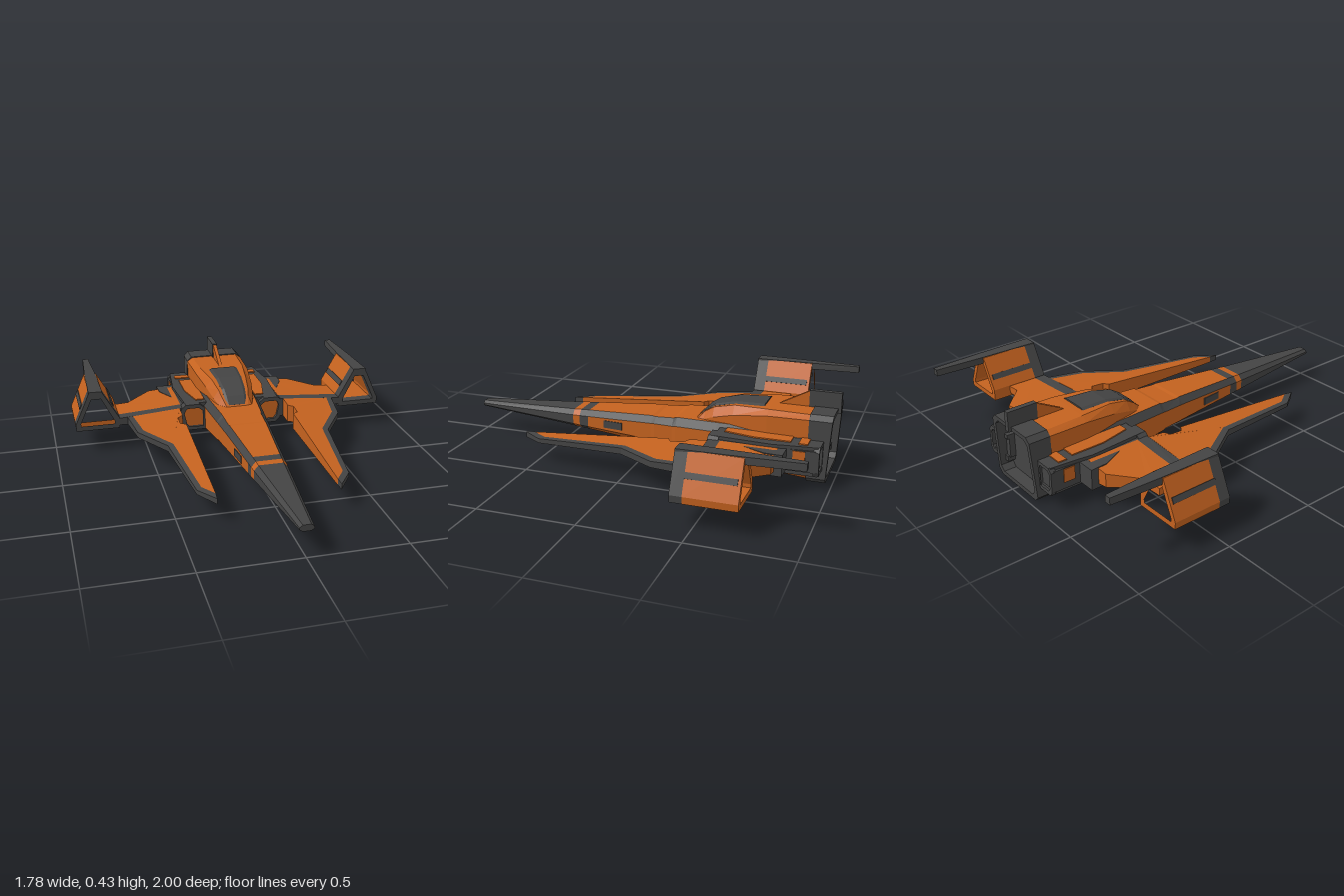
import * as THREE from 'three';

const orange = new THREE.MeshStandardMaterial({ color: 0xc4621f });
orange.name = 'orangePaint';
const dark = new THREE.MeshStandardMaterial({ color: 0x444444 });
dark.name = 'darkGrey';

const lerp = THREE.MathUtils.lerp;
// piecewise-linear lookup through [x, y] points
function ramp(pts, x) {
  if (x <= pts[0][0]) return pts[0][1];
  for (let i = 1; i < pts.length; i++) {
    const [x0, y0] = pts[i - 1], [x1, y1] = pts[i];
    if (x <= x1) return lerp(y0, y1, (x - x0) / (x1 - x0));
  }
  return pts[pts.length - 1][1];
}

function polygon(pts) {
  return new THREE.Shape(pts.map(p => new THREE.Vector2(p[0], p[1])));
}

export function createModel() {
  const ship = new THREE.Group();
  ship.name = 'starfighter';

  function add(name, geo, mat) {
    const m = new THREE.Mesh(geo, mat);
    m.name = name;
    ship.add(m);
    return m;
  }

  // upright outline (x, y) pushed from z0 back to z1, with an optional hole
  function prism(name, pts, z0, z1, mat, hole, rule) {
    const s = polygon(pts);
    if (hole) s.holes.push(new THREE.Path(hole.map(p => new THREE.Vector2(p[0], p[1]))));
    const g = new THREE.ExtrudeGeometry(s, { depth: z0 - z1, bevelEnabled: false });
    g.translate(0, 0, z1);
    if (rule) {
      const p = g.attributes.position;
      for (let i = 0; i < p.count; i++) p.setZ(i, rule(p.getY(i), p.getZ(i)));
      g.computeVertexNormals();
    }
    return add(name, g, mat);
  }

  // plan outline (x, z) between two height rules
  function slab(name, pts, bottom, top, mat) {
    const g = new THREE.ExtrudeGeometry(polygon(pts), { depth: 1, bevelEnabled: false });
    g.rotateX(Math.PI / 2);
    const p = g.attributes.position;
    for (let i = 0; i < p.count; i++) {
      const x = Math.abs(p.getX(i)), z = p.getZ(i);
      p.setY(i, lerp(bottom(x, z), top(x, z), p.getY(i) + 1));
    }
    g.computeVertexNormals();
    return add(name, g, mat);
  }

  // flat-shaded loft through sections (front to back); paint(segment, strip) picks the colour
  function loft(name, secs, paint) {
    const buckets = new Map([[orange, []], [dark, []]]);
    const n = secs[0].length, last = secs.length - 1;
    const tri = (m, ...v) => v.forEach(p => buckets.get(m).push(...p));
    for (let i = 0; i < last; i++) for (let j = 0; j < n; j++) {
      const k = (j + 1) % n, m = paint(i, j);
      const a = secs[i][j], b = secs[i][k], c = secs[i + 1][k], d = secs[i + 1][j];
      tri(m, a, d, c);
      tri(m, a, c, b);
    }
    for (let j = 1; j < n - 1; j++) {
      tri(paint(0, 0), secs[0][0], secs[0][j], secs[0][j + 1]);
      tri(paint(last - 1, 0), secs[last][0], secs[last][j + 1], secs[last][j]);
    }
    for (const [mat, arr] of buckets) if (arr.length) {
      const g = new THREE.BufferGeometry();
      g.setAttribute('position', new THREE.Float32BufferAttribute(arr, 3));
      g.computeVertexNormals();
      add(name, g, mat);
    }
  }

  // eight-sided section: z, half widths (bottom, middle, top), heights
  const oct = (z, wb, w, wt, yb, y1, y2, yt) => [
    [-wb, yb, z], [wb, yb, z], [w, y1, z], [w, y2, z],
    [wt, yt, z], [-wt, yt, z], [-w, y2, z], [-w, y1, z]];

  // hull: dark nose, two bands, dark upper edges
  loft('hull', [
    oct(1, .02, .035, .02, .135, .145, .155, .168),
    oct(.42, .05, .088, .065, .095, .12, .17, .197),
    oct(.38, .052, .092, .068, .092, .118, .172, .2),
    oct(.33, .055, .096, .071, .088, .116, .174, .203),
    oct(-.04, .08, .126, .1, .06, .1, .19, .225),
    oct(-.06, .08, .13, .102, .066, .1, .192, .222),
    oct(-.16, .09, .136, .106, .06, .095, .192, .228),
    oct(-.18, .1, .14, .11, .052, .09, .195, .235),
    oct(-.4, .12, .16, .13, .042, .075, .2, .24),
    oct(-.88, .15, .168, .15, .01, .03, .22, .245),
  ], (i, j) => (i === 0 || i === 2 || (i > 2 && (j === 3 || j === 5)) ? dark : orange));

  // raised back behind and around the cockpit
  loft('cockpitFairing', [
    oct(-.275, .09, .09, .06, .2, .21, .225, .237),
    oct(-.32, .1, .1, .075, .2, .21, .24, .275),
    oct(-.37, .115, .115, .085, .2, .21, .26, .306),
    oct(-.48, .135, .135, .1, .2, .21, .29, .333),
    oct(-.66, .158, .158, .125, .2, .21, .315, .34),
    oct(-.89, .165, .165, .135, .2, .21, .32, .34),
  ], () => orange);

  // canopy glass
  const glass = (z, w, y) => [[-w, y - .03, z], [w, y - .03, z], [w, y, z],
    [w * .8, y + .008, z], [-w * .8, y + .008, z], [-w, y, z]];
  loft('canopyGlass', [glass(-.283, .057, .236), glass(-.32, .062, .276), glass(-.37, .067, .307),
    glass(-.48, .075, .333), glass(-.63, .083, .339)], () => dark);

  // tail fin, orange slope with dark rear block
  const fin = (name, pts, t, mat) => {
    const g = new THREE.ExtrudeGeometry(polygon(pts), { depth: t, bevelEnabled: false });
    g.translate(0, 0, -t / 2);
    g.rotateY(-Math.PI / 2);
    add(name, g, mat);
  };
  fin('tailFin', [[-.84, .33], [-.69, .33], [-.69, .34], [-.84, .42]], .02, orange);
  fin('tailFinRear', [[-1, .32], [-.84, .32], [-.84, .425], [-1, .425]], .028, dark);

  // main engine nozzle, open at the back
  const ring = (w, y0, y1, c) => [[-w + c, y0], [w - c, y0], [w, y0 + c], [w - .012, y1 - c],
    [w - c - .012, y1], [-w + c + .012, y1], [-w + .012, y1 - c], [-w, y0 + c]];
  prism('mainNozzle', ring(.178, 0, .345, .025), -.87, -.975, dark, ring(.155, .025, .322, .025),
    (y, z) => (z < -.95 ? z - (y - .17) * .06 : z));
  prism('nozzleBack', ring(.16, .015, .33, .025), -.87, -.9, dark);

  for (const s of [1, -1]) {
    const mir = pts => pts.map(([x, y]) => [s * x, y]);
    const flat = y => () => y;

    // hull side hatch
    const hatch = add('sideHatch', new THREE.BoxGeometry(.008, .04, .11), dark);
    hatch.position.set(s * .108, .146, .18);
    hatch.rotation.y = -s * .1;

    // engine shoulder: wide lower block, narrower top step
    slab('engineShoulder', mir([[.12, -.42], [.3, -.42], [.31, -.57], [.37, -.7], [.375, -.79],
      [.28, -.79], [.28, -.93], [.12, -.93]]), flat(.095), flat(.205), dark);
    slab('engineTop', mir([[.12, -.42], [.27, -.42], [.28, -.57], [.29, -.72], [.28, -.79],
      [.265, -.94], [.12, -.94]]), flat(.2), flat(.222), dark);
    slab('engineUnderside', mir([[.13, -.42], [.26, -.42], [.26, -.94], [.13, -.94]]),
      flat(.07), flat(.1), dark);

    // painted panels on top, split by a dark stripe
    slab('topPanel', mir([[.15, -.46], [.2, -.46], [.235, -.62], [.235, -.8], [.15, -.8]]),
      flat(.22), flat(.228), orange);
    slab('topPanelRear', mir([[.15, -.84], [.25, -.84], [.25, -.885], [.15, -.885]]),
      flat(.22), flat(.228), orange);
    const patch = add('enginePatch', new THREE.BoxGeometry(.008, .07, .06), orange);
    patch.position.set(s * .281, .165, -.85);

    // air intake frame with orange inner face, small exhaust frame behind
    const mouth = [[.15, .07], [.26, .07], [.285, .095], [.302, .17], [.295, .2], [.27, .222], [.19, .222], [.15, .19]];
    const inner = [[.17, .09], [.25, .09], [.265, .11], [.278, .17], [.27, .19], [.26, .2], [.195, .2], [.17, .18]];
    prism('intakeFrame', mir(mouth), -.395, -.45, dark, mir(inner));
    prism('intakeFace', mir(inner), -.412, -.425, orange);
    prism('exhaustFrame', mir([[.17, .075], [.265, .075], [.28, .1], [.28, .2], [.26, .222], [.17, .222]]),
      -.92, -.948, dark, mir([[.185, .095], [.25, .095], [.262, .11], [.262, .19], [.25, .204], [.185, .204]]));

    // wing and prong share the same thickness rules
    const top = (x, z) => ramp([[.31, .207], [.45, .194], [.65, .18]], x) - Math.max(0, z + .4) * .078;
    const bottom = (x) => ramp([[.37, .1], [.45, .133], [.65, .142]], x);
    const wing = (name, pts, mat) => slab(name, mir(pts), bottom, top, mat);
    wing('wing', [[.29, -.46], [.45, -.46], [.66, -.46], [.66, -.62], [.57, -.62], [.43, -.75], [.29, -.75]], orange);
    wing('wingLeadingEdge', [[.29, -.4], [.45, -.4], [.66, -.4], [.66, -.46], [.45, -.46], [.29, -.46]], dark);
    wing('prong', [[.305, -.4], [.305, -.31], [.335, -.29], [.335, -.22], [.305, -.2], [.308, .54],
      [.362, .46], [.413, -.01], [.54, -.215], [.57, -.4]], orange);
    wing('prongEdge', [[.57, -.4], [.6, -.4], [.572, -.2], [.443, 0], [.388, .48], [.311, .59],
      [.308, .54], [.362, .46], [.413, -.01], [.54, -.215]], dark);

    // hollow triangular wingtip pod
    const frame = mir([[.645, .125], [.885, .125], [.888, .16], [.805, .345], [.735, .345], [.645, .185]]);
    const hollow = mir([[.672, .152], [.858, .152], [.858, .168], [.795, .305], [.742, .305], [.672, .17]]);
    prism('podFront', frame, -.4, -.46, dark, hollow);
    prism('podShell', frame, -.46, -.715, orange, hollow);

    // stripes on both sloping sides of the pod
    const strip = (name, a, b, nx, ny) => prism(name, mir([a, b, [b[0] + nx, b[1] + ny], [a[0] + nx, a[1] + ny]]),
      -.455, -.7, dark);
    strip('podOuterStripe', [.855, .233], [.843, .26], .004, .002);
    strip('podInnerStripe', [.671, .233], [.686, .26], -.004, .002);

    // long spike running back along the pod top
    const spike = (z, w) => [[s * .77 - w, .313, z], [s * .77 + w, .313, z],
      [s * .77 + w * .9, .348, z], [s * .77 - w * .9, .348, z]];
    loft('podSpike', [spike(-.4, .042), spike(-.72, .033), spike(-.98, .018)], () => dark);
  }
  return ship;
}
